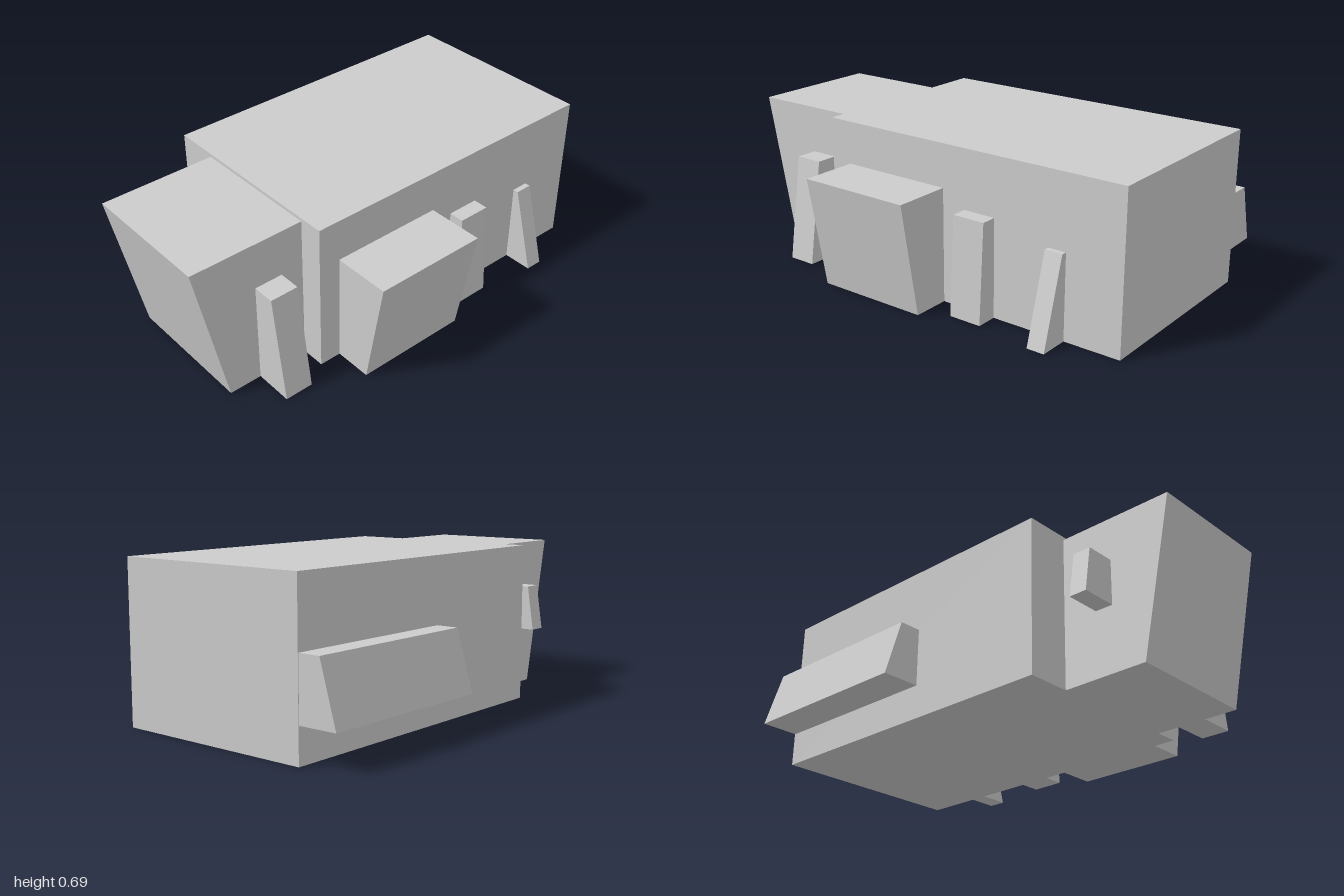
import * as THREE from 'three';

const material = new THREE.MeshStandardMaterial({ color: 0xcccccc, flatShading: true });

// Block against a wall, with a sloping outer face: profile extruded over a length
function slopedBlock(name, wall, outTop, outBottom, y0, y1, length) {
  const shape = new THREE.Shape([
    new THREE.Vector2(wall, y0),
    new THREE.Vector2(outBottom, y0),
    new THREE.Vector2(outTop, y1),
    new THREE.Vector2(wall, y1),
  ]);
  const geometry = new THREE.ExtrudeGeometry(shape, { depth: length, bevelEnabled: false });
  const mesh = new THREE.Mesh(geometry, material);
  mesh.name = name;
  return mesh;
}

export function createModel() {
  const group = new THREE.Group();
  group.name = 'building';

  // Main hall
  const hall = new THREE.Mesh(new THREE.BoxGeometry(0.917, 0.695, 1.475), material);
  hall.name = 'mainHall';
  hall.position.set(-0.0435, 0.3475, -0.2625);
  group.add(hall);

  // Front wing, its face leaning outward
  const wing = slopedBlock('frontWing', 0.475, 1, 0.86, 0, 0.68, 0.61);
  wing.geometry.rotateY(-Math.PI / 2);
  wing.position.x = 0.305;
  group.add(wing);

  // Side attachments: name, wall x, outer x at top and bottom, y range, z range
  const sides = [
    ['leftBay', 0.415, 0.675, 0.585, 0, 0.505, -0.145, 0.375],
    ['wideButtress', 0.415, 0.485, 0.51, 0, 0.435, -0.405, -0.255],
    ['narrowButtress', 0.415, 0.44, 0.55, 0, 0.375, -0.745, -0.665],
    ['wingButtress', 0.305, 0.405, 0.48, 0, 0.47, 0.58, 0.71],
    ['wingBox', -0.305, -0.435, -0.465, 0.29, 0.49, 0.635, 0.715],
    ['rightGallery', -0.5, -0.6, -0.675, 0.15, 0.41, -0.997, -0.173],
  ];
  for (const [name, wall, top, bottom, y0, y1, z0, z1] of sides) {
    const block = slopedBlock(name, wall, top, bottom, y0, y1, z1 - z0);
    block.position.z = z0;
    group.add(block);
  }

  return group;
}
